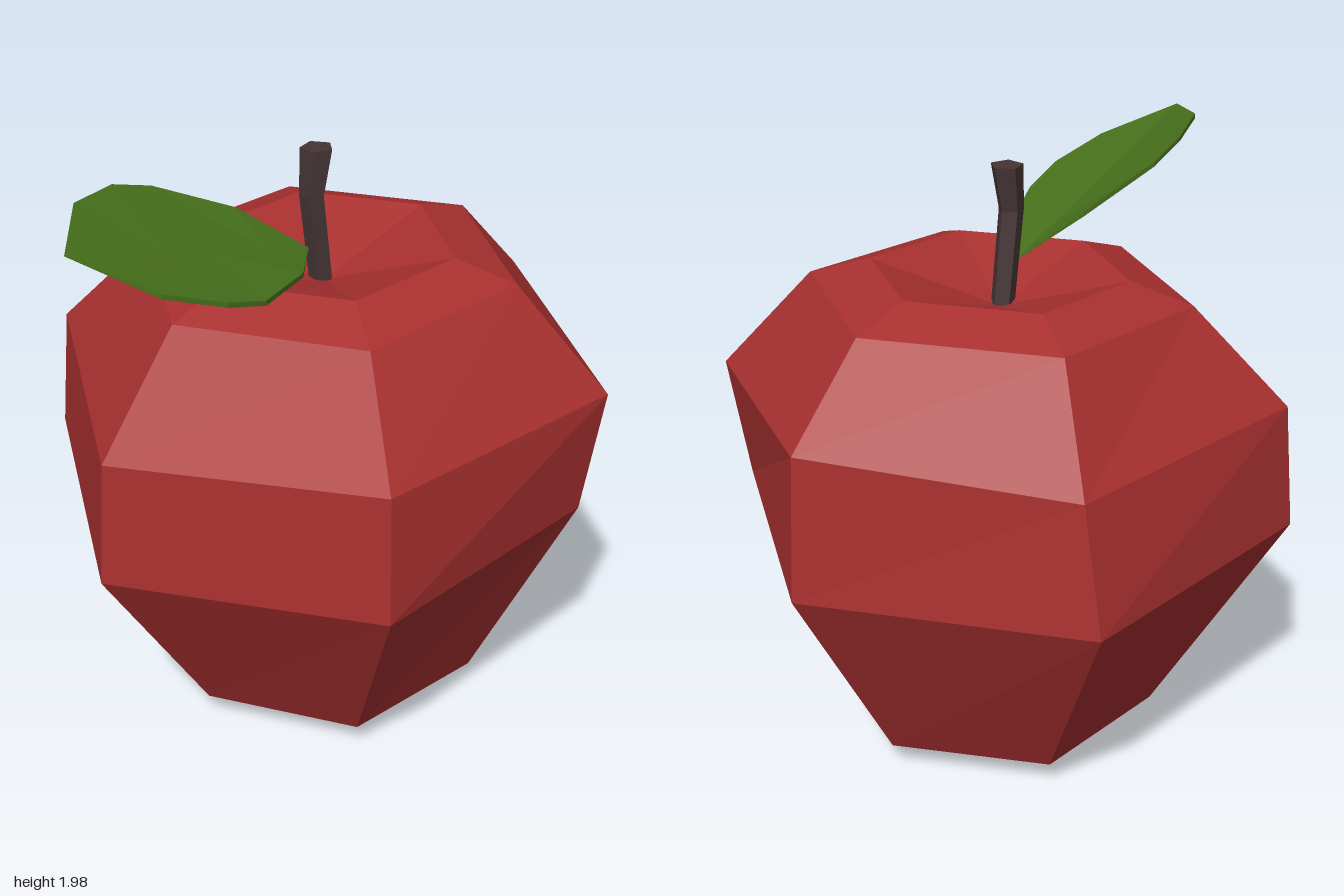
import * as THREE from 'three';

// Flat-shaded skin over rings of points, closed by a fan to a point at each end.
function loft(name, color, rings, startTip, endTip) {
  const pos = [];
  const tri = (...pts) => pts.forEach((p) => pos.push(...p));
  const n = rings[0].length;
  const last = rings[rings.length - 1];
  for (let j = 0; j < n; j++) {
    const k = (j + 1) % n;
    tri(rings[0][k], rings[0][j], startTip);
    for (let i = 0; i < rings.length - 1; i++) {
      const [lo, hi] = [rings[i], rings[i + 1]];
      tri(lo[j], lo[k], hi[k]);
      tri(lo[j], hi[k], hi[j]);
    }
    tri(last[j], last[k], endTip);
  }
  const geo = new THREE.BufferGeometry();
  geo.setAttribute('position', new THREE.Float32BufferAttribute(pos, 3));
  geo.computeVertexNormals();
  const mesh = new THREE.Mesh(geo, new THREE.MeshStandardMaterial({ color, flatShading: true }));
  mesh.name = name;
  return mesh;
}

// Horizontal polygon with its first corner towards +x.
function ring(sides, cx, y, r) {
  return Array.from({ length: sides }, (_, i) => {
    const a = (i / sides) * Math.PI * 2;
    return [cx + r * Math.cos(a), y, -r * Math.sin(a)];
  });
}

export function createModel() {
  const group = new THREE.Group();

  // Fruit: hexagonal rings [centre x, height, radius] from the base to the rim
  const body = [
    [0.06, 0, 0.37],
    [0.065, 0.09, 0.535],
    [0.06, 0.82, 0.94],
    [0.06, 1.24, 0.91],
    [0.065, 1.57, 0.627],
    [0.065, 1.635, 0.425],
  ].map(([cx, y, r]) => ring(6, cx, y, r));
  // Irregular corners of the two widest rings
  body[2][1] = [0.55, 0.82, -0.84];
  body[2][2] = [-0.43, 0.82, -0.84];
  body[2][3][1] = 0.745;
  body[2][4] = [-0.43, 0.82, 0.84];
  body[2][5] = [0.49, 0.82, 0.77];
  body[3][0][1] = 1.3;
  body[3][1] = [0.54, 1.24, -0.76];
  body[3][2] = [-0.41, 1.24, -0.81];
  body[3][3][1] = 1.165;
  body[3][4] = [-0.41, 1.24, 0.81];
  body[3][5] = [0.54, 1.24, 0.81];
  // The shoulder and rim lean towards -x
  for (const r of [body[4], body[5]]) for (const p of r) p[1] += 0.035 * (p[0] - 0.065);
  group.add(loft('fruit', 0xa93030, body, [0.06, 0.06, 0], [0.06, 1.51, 0]));

  // Bent five-sided stem
  const stem = [
    [0.05, 1.48, 0.04],
    [0.005, 1.82, 0.042],
    [0.025, 1.97, 0.054],
  ].map(([cx, y, r]) => ring(5, cx, y, r));
  group.add(loft('stem', 0x453535, stem, [0.05, 1.48, 0], [0.025, 1.97, 0]));

  // Leaf: stations along a straight midrib [x, back y, back z, front y, front z]
  const base = [-0.01, 1.64, 0];
  const tip = [-1, 1.94, 0.11];
  const thick = 0.016;
  const leaf = [
    [-0.2, 1.79, -0.13, 1.675, 0.19],
    [-0.465, 1.91, -0.205, 1.715, 0.33],
    [-0.62, 1.96, -0.19, 1.765, 0.35],
    [-0.815, 1.98, -0.105, 1.835, 0.3],
  ].map(([x, by, bz, fy, fz]) => {
    const t = (x - base[0]) / (tip[0] - base[0]);
    const top = [
      [x, fy, fz],
      [x, base[1] + t * (tip[1] - base[1]), t * tip[2]],
      [x, by, bz],
    ];
    const under = top.map(([px, py, pz]) => [px, py - thick, pz]).reverse();
    return [...top, ...under];
  });
  group.add(loft('leaf', 0x47721c, leaf, base, tip));

  return group;
}
